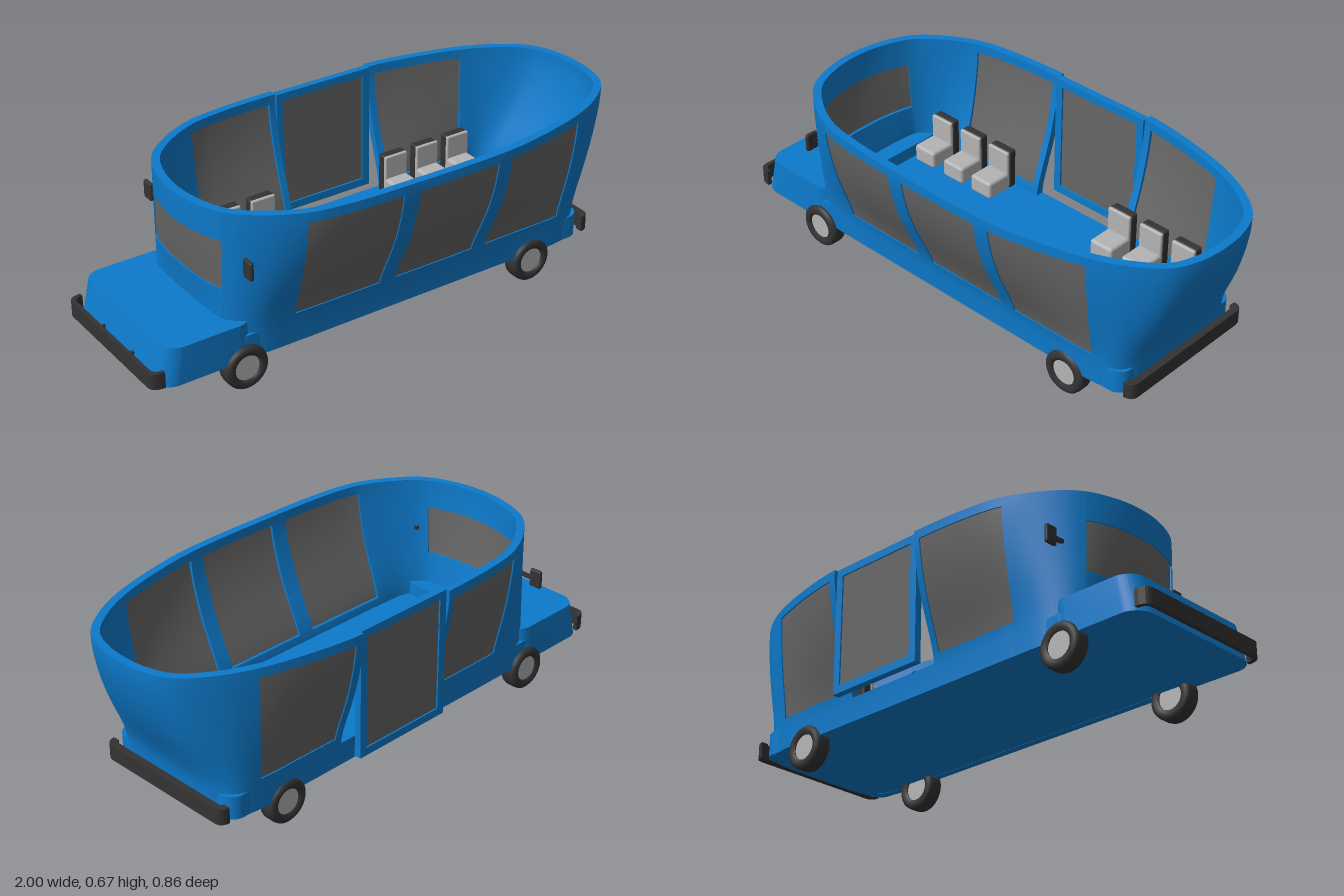
import * as THREE from 'three';
import { toCreasedNormals } from 'three/addons/utils/BufferGeometryUtils.js';
import { RoundedBoxGeometry } from 'three/addons/geometries/RoundedBoxGeometry.js';

const mat = (color) => new THREE.MeshStandardMaterial({ color });

// Half outlines of the shell (nose to tail) at floor level and at the rim, point for point
const RIM = [[-0.745, 0], [-0.73, 0.12], [-0.68, 0.24], [-0.58, 0.33], [-0.45, 0.395], [-0.3, 0.42], [-0.075, 0.43],
  [0.33, 0.428], [0.5, 0.405], [0.715, 0.35], [0.85, 0.285], [0.95, 0.2], [0.99, 0.1], [1, 0]];
const BASE = [[-0.69, 0], [-0.69, 0.13], [-0.68, 0.23], [-0.6, 0.29], [-0.44, 0.3], [-0.3, 0.3], [-0.075, 0.3],
  [0.33, 0.3], [0.5, 0.3], [0.695, 0.3], [0.78, 0.28], [0.82, 0.22], [0.83, 0.1], [0.83, 0]];
// Flare of the wall: [height, blend from floor outline to rim outline]
const FLARE = [[0.11, 0], [0.18, 0.02], [0.22, 0.06], [0.25, 0.12], [0.3, 0.26], [0.35, 0.42], [0.4, 0.57], [0.45, 0.7],
  [0.5, 0.81], [0.55, 0.9], [0.6, 0.97], [0.635, 1], [0.67, 1]];

function closedCurve(half) {
  const mirrored = half.slice(1, -1).reverse().map(([x, z]) => [x, -z]);
  return new THREE.CatmullRomCurve3([...half, ...mirrored].map(([x, z]) => new THREE.Vector3(x, 0, z)), true, 'centripetal');
}
const rimCurve = closedCurve(RIM), baseCurve = closedCurve(BASE);

function flareAt(y) {
  const i = Math.max(1, FLARE.findIndex(([h]) => h >= y - 1e-6));
  const [y0, f0] = FLARE[i - 1], [y1, f1] = FLARE[i];
  return THREE.MathUtils.lerp(f0, f1, (y - y0) / (y1 - y0));
}

function shellPoint(t, y) {
  const u = ((t % 1) + 1) % 1, f = flareAt(y);
  const p = baseCurve.getPoint(u).lerp(rimCurve.getPoint(u), f);
  return p.set(p.x, y, p.z - 0.02 * (1 - f));
}

// Curve parameter on the +z half for a given x on the rim
function tAt(x) {
  let a = 0, b = 0.5;
  for (let i = 0; i < 30; i++) {
    const m = (a + b) / 2;
    if (rimCurve.getPoint(m).x < x) a = m; else b = m;
  }
  return (a + b) / 2;
}

// Curved slab following the shell between two parameters and two heights
function slab(t0, t1, y0, y1, inset = 0, thick = 0.03) {
  const ys = [y0, ...FLARE.map(([h]) => h).filter((h) => h > y0 + 1e-4 && h < y1 - 1e-4), y1];
  const rows = ys.length, ring = rows * 2, cols = Math.max(4, Math.ceil((t1 - t0) * 120));
  const pos = [], idx = [];
  for (let i = 0; i <= cols; i++) {
    const t = t0 + ((t1 - t0) * i) / cols;
    for (let k = 0; k < ring; k++) {
      const y = ys[k < rows ? k : ring - 1 - k], off = k < rows ? inset : inset + thick;
      const p = shellPoint(t, y), d = shellPoint(t + 0.002, y).sub(shellPoint(t - 0.002, y)).normalize();
      pos.push(p.x + d.z * off, y, p.z - d.x * off);
    }
  }
  const quad = (a, b, c, d) => idx.push(a, b, c, a, c, d);
  for (let i = 0; i < cols; i++) for (let k = 0; k < ring; k++) {
    const n = (k + 1) % ring, a = i * ring, b = a + ring;
    quad(a + k, b + k, b + n, a + n);
  }
  const e = cols * ring;
  for (let k = 0; k < rows - 1; k++) {
    const m = ring - 1 - k;
    quad(k, k + 1, m - 1, m);
    quad(e + k, e + m, e + m - 1, e + k + 1);
  }
  const g = new THREE.BufferGeometry();
  g.setAttribute('position', new THREE.Float32BufferAttribute(pos, 3));
  g.setIndex(idx);
  return toCreasedNormals(g, 0.6);
}

// Rounded rectangle in plan, extruded upwards
function plate(x0, x1, z0, z1, y0, y1, r) {
  const s = new THREE.Shape();
  s.moveTo(x0 + r, -z1).lineTo(x1 - r, -z1).absarc(x1 - r, -z1 + r, r, -Math.PI / 2, 0);
  s.absarc(x1 - r, -z0 - r, r, 0, Math.PI / 2).absarc(x0 + r, -z0 - r, r, Math.PI / 2, Math.PI);
  s.absarc(x0 + r, -z1 + r, r, Math.PI, Math.PI * 1.5);
  const g = new THREE.ExtrudeGeometry(s, { depth: y1 - y0, bevelEnabled: false, curveSegments: 8 });
  return g.rotateX(-Math.PI / 2).translate(0, y0, 0);
}

export function createModel() {
  const model = new THREE.Group();
  const paint = mat(0x0d7acb), glass = mat(0x666666), dark = mat(0x333333), light = mat(0xb4b4b4);
  const add = (name, geo, material, x = 0, y = 0, z = 0, parent = model) => {
    const m = new THREE.Mesh(geo, material);
    m.name = name;
    m.position.set(x, y, z);
    parent.add(m);
    return m;
  };
  const BOTTOM = 0.11, TOP = 0.67;

  // Floor and hood; the hood leans back towards its top
  add('floor', plate(-0.685, 0.82, -0.315, 0.275, BOTTOM + 0.001, 0.2, 0.05), paint);
  const hood = plate(-0.97, -0.6, -0.32, 0.28, BOTTOM, 0.25, 0.07);
  const hp = hood.attributes.position;
  for (let i = 0; i < hp.count; i++) {
    if (hp.getY(i) > 0.2) {
      hp.setX(i, hp.getX(i) + 0.03 * THREE.MathUtils.clamp((-0.6 - hp.getX(i)) / 0.3, 0, 1));
      hp.setZ(i, -0.02 + (hp.getZ(i) + 0.02) * 0.985);
    }
  }
  hood.computeVertexNormals();
  add('hood', toCreasedNormals(hood, 0.6), paint);

  // Shell walls; side -1 mirrors the parameter range
  const wall = (name, side, ta, tb, y0, y1, material = paint, inset = 0, thick = 0.03) =>
    add(name, side > 0 ? slab(ta, tb, y0, y1, inset, thick) : slab(1 - tb, 1 - ta, y0, y1, inset, thick), material);
  const bay = (side, ta, tb, y0, y1, pane) => {
    wall('sill', side, ta, tb, BOTTOM, y0);
    wall('header', side, ta, tb, y1, TOP);
    wall(pane, side, ta, tb, y0, y1, glass, 0.005, 0.014);
  };
  const nose = tAt(-0.69);
  bay(1, -nose, nose, 0.37, 0.56, 'windshield');
  const tail = tAt(0.715);
  wall('tailWall', 1, tail, 1 - tail, BOTTOM, TOP);
  const layouts = [
    [1, [[-0.46, -0.105], [-0.04, 0.295], [0.355, 0.715]]],
    [-1, [[-0.46, -0.105], [0.36, 0.715]]],
  ];
  for (const [side, windows] of layouts) {
    wall('frontPost', side, nose, tAt(-0.46), BOTTOM, TOP);
    for (const [a, b] of windows) bay(side, tAt(a), tAt(b), 0.23, 0.635, 'sideWindow');
  }
  for (const [a, b] of [[-0.105, -0.04], [0.295, 0.355]]) wall('post', 1, tAt(a), tAt(b), BOTTOM, TOP);
  for (const [a, b] of [[-0.105, -0.08], [0.33, 0.36]]) wall('doorPost', -1, tAt(a), tAt(b), BOTTOM, TOP);
  wall('doorSill', -1, tAt(-0.08), tAt(0.33), BOTTOM, 0.2);

  // Flat door hung upright in the gap
  const rect = (C, x0, y0, x1, y1) => new C().moveTo(x0, y0).lineTo(x1, y0).lineTo(x1, y1).lineTo(x0, y1).lineTo(x0, y0);
  const frame = rect(THREE.Shape, -0.08, 0.18, 0.33, TOP);
  frame.holes.push(rect(THREE.Path, -0.05, 0.21, 0.3, 0.64));
  const door = new THREE.Group();
  door.name = 'door';
  model.add(door);
  add('doorFrame', new THREE.ExtrudeGeometry(frame, { depth: 0.027, bevelEnabled: false }), paint, 0, 0, -0.416, door);
  add('doorPane', new THREE.BoxGeometry(0.35, 0.43, 0.014), glass, 0.125, 0.425, -0.403, door);

  // Two rows of seats against the door side
  for (const x of [-0.53, -0.38, -0.235, 0.355, 0.5, 0.645]) {
    add('seatCushion', new RoundedBoxGeometry(0.1, 0.07, 0.11, 2, 0.012), light, x, 0.235, -0.205);
    add('seatBack', new RoundedBoxGeometry(0.1, 0.16, 0.035, 2, 0.008), dark, x, 0.28, -0.275);
    add('seatBackPad', new RoundedBoxGeometry(0.1, 0.15, 0.015, 2, 0.006), light, x, 0.285, -0.252);
  }

  // Wheels: lathed tyre with a recessed hub
  const tyre = new THREE.LatheGeometry([[0.048, -0.027], [0.058, -0.0325], [0.072, -0.0325], [0.081, -0.025], [0.083, -0.015],
    [0.083, 0.015], [0.081, 0.025], [0.072, 0.0325], [0.058, 0.0325], [0.048, 0.027], [0.048, -0.027]]
    .map(([r, y]) => new THREE.Vector2(r, y)), 36).rotateX(Math.PI / 2);
  const hub = new THREE.CylinderGeometry(0.049, 0.049, 0.046, 32).rotateX(Math.PI / 2);
  for (const x of [-0.645, 0.58]) for (const z of [0.2625, -0.3]) {
    const wheel = new THREE.Group();
    wheel.name = 'wheel';
    wheel.position.set(x, 0.084, z);
    add('tyre', tyre, dark, 0, 0, 0, wheel);
    add('hub', hub, light, 0, 0, 0, wheel);
    model.add(wheel);
  }

  // Bumpers: strips wrapped around the corners, dir is the way they face
  const bumper = (name, xOut, dir, depth, thick) => {
    const s = new THREE.Shape(), xi = xOut - dir * depth, xt = xOut - dir * thick, h = 0.295, c = 0.035;
    s.moveTo(xi, -h).quadraticCurveTo(xOut, -h, xOut, -h + c).lineTo(xOut, h - c).quadraticCurveTo(xOut, h, xi, h);
    s.lineTo(xi, h - thick).quadraticCurveTo(xt, h - thick, xt, h - c - 0.005);
    s.lineTo(xt, -h + c + 0.005).quadraticCurveTo(xt, -h + thick, xi, -h + thick);
    const g = new THREE.ExtrudeGeometry(s, { depth: 0.06, bevelEnabled: false, curveSegments: 6 });
    add(name, g.rotateX(-Math.PI / 2), dark, 0, 0.118, -0.02);
  };
  bumper('frontBumper', -1, -1, 0.05, 0.016);
  bumper('rearBumper', 0.868, 1, 0.038, 0.026);
  for (const z of [-0.12, 0.08]) add('bumperBracket', new THREE.BoxGeometry(0.04, 0.02, 0.012), dark, -0.972, 0.148, z);

  // Side mirrors on short arms
  for (const side of [1, -1]) {
    const z = side > 0 ? 0.305 : -0.35;
    add('mirror', new RoundedBoxGeometry(0.016, 0.07, 0.05, 3, 0.007), dark, -0.64, 0.475, z);
    add('mirrorArm', new THREE.BoxGeometry(0.012, 0.014, 0.07), dark, -0.635, 0.475, z - side * 0.04);
  }
  return model;
}
